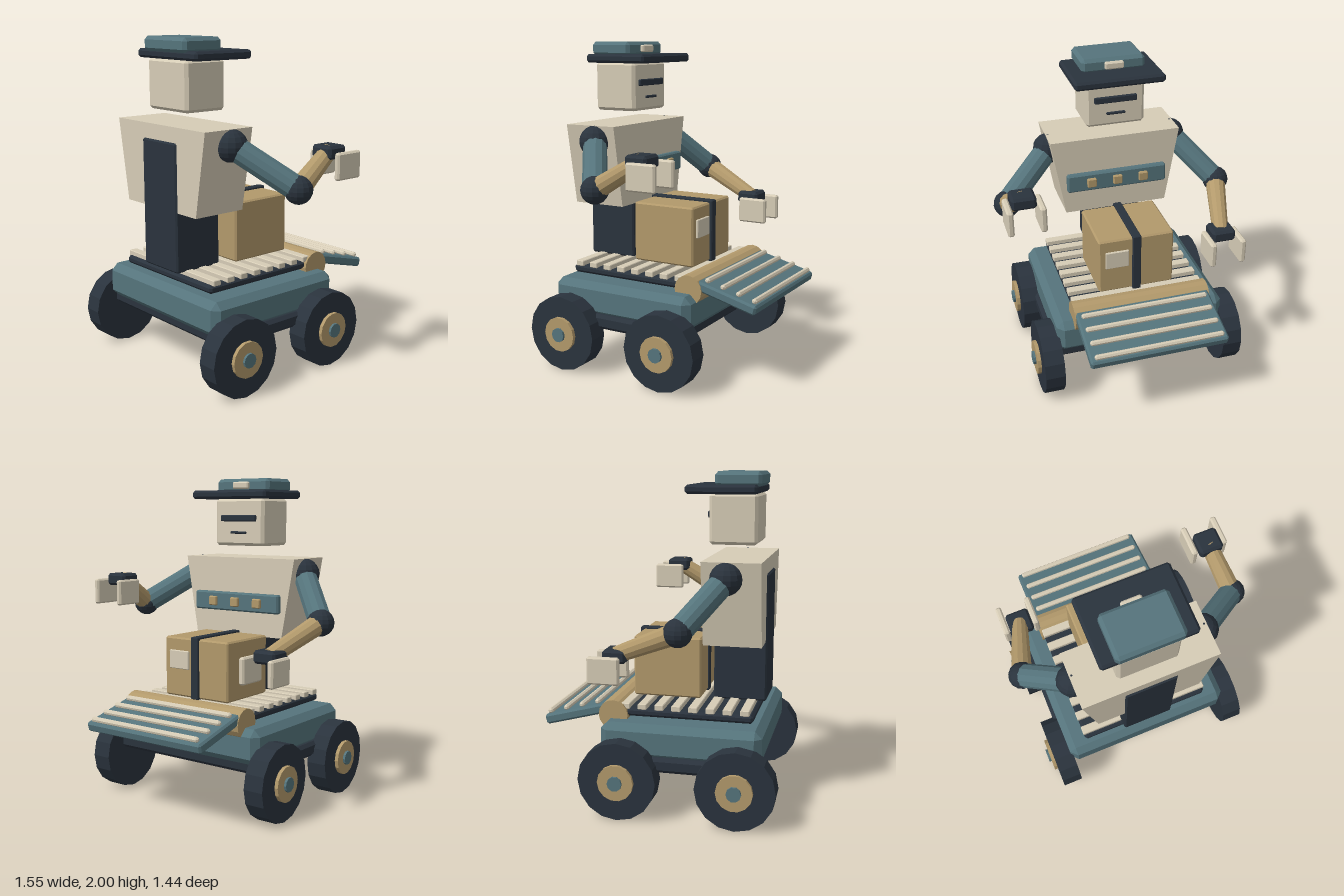
import * as THREE from 'three';
import { ConvexGeometry } from 'three/addons/geometries/ConvexGeometry.js';

const mat = (color) => new THREE.MeshStandardMaterial({ color, flatShading: true });
const teal = mat(0x55747c), dark = mat(0x2a333d), cream = mat(0xd6ccb6), tan = mat(0xb2996b);
const CX = -0.035; // centre line of the body

function add(parent, name, geometry, material, x = 0, y = 0, z = 0) {
  const mesh = new THREE.Mesh(geometry, material);
  mesh.name = name;
  mesh.position.set(x, y, z);
  parent.add(mesh);
  return mesh;
}

// Box with every edge cut at 45 degrees
function chamferBox(w, h, d, c) {
  const pts = [];
  for (const i of [-1, 1]) for (const j of [-1, 1]) for (const k of [-1, 1]) {
    const x = w / 2, y = h / 2, z = d / 2;
    pts.push(
      new THREE.Vector3(i * x, j * (y - c), k * (z - c)),
      new THREE.Vector3(i * (x - c), j * y, k * (z - c)),
      new THREE.Vector3(i * (x - c), j * (y - c), k * z));
  }
  return new ConvexGeometry(pts);
}

// Chamfered block given by its limits on each axis
function block(parent, name, material, [x0, x1], [y0, y1], [z0, z1], c = 0.01) {
  return add(parent, name, chamferBox(x1 - x0, y1 - y0, z1 - z0, c), material,
    (x0 + x1) / 2, (y0 + y1) / 2, (z0 + z1) / 2);
}

// Block symmetric about the centre line
const midBlock = (parent, name, material, half, y, z, c) =>
  block(parent, name, material, [CX - half, CX + half], y, z, c);

// Tapered cylinder between two points
function limb(parent, name, material, a, b, ra, rb) {
  const dir = b.clone().sub(a);
  const mesh = add(parent, name, new THREE.CylinderGeometry(rb, ra, dir.length(), 12), material);
  mesh.position.copy(a).lerp(b, 0.5);
  mesh.quaternion.setFromUnitVectors(new THREE.Vector3(0, 1, 0), dir.normalize());
}

function crossCylinder(parent, name, material, r, width, sides, x, y, z) {
  add(parent, name, new THREE.CylinderGeometry(r, r, width, sides), material, x, y, z).rotation.z = Math.PI / 2;
}

function buildCart(root) {
  const cart = new THREE.Group();
  cart.name = 'cart';
  root.add(cart);
  midBlock(cart, 'undercarriage', dark, 0.565, [0.275, 0.365], [-0.3, 0.575], 0.02);
  midBlock(cart, 'chassis', teal, 0.543, [0.335, 0.55], [-0.34, 0.622], 0.042);
  midBlock(cart, 'bed', dark, 0.42, [0.565, 0.615], [-0.24, 0.556], 0.015);
  for (let i = 0; i < 8; i++) {
    const z = -0.21 + i * 0.1025;
    midBlock(cart, 'slat', cream, 0.425, [0.61, 0.645], [z - 0.027, z + 0.027], 0.004);
  }
  // Wheels with hubs and axle caps
  for (const side of [-1, 1]) for (const z of [0.49, -0.205]) {
    const wheel = new THREE.Group();
    wheel.name = 'wheel';
    wheel.position.set(CX + side * 0.59, 0.234, z);
    cart.add(wheel);
    crossCylinder(wheel, 'tyre', dark, 0.234, 0.125, 16, 0, 0, 0);
    crossCylinder(wheel, 'hub', tan, 0.108, 0.06, 14, side * 0.055, 0, 0);
    crossCylinder(wheel, 'axleCap', teal, 0.044, 0.06, 10, side * 0.07, 0, 0);
  }
  // Hinge roller and sloping ramp
  crossCylinder(cart, 'roller', tan, 0.09, 0.875, 16, CX, 0.572, -0.283);
  const ramp = new THREE.Group();
  ramp.name = 'ramp';
  ramp.position.set(CX, 0.563, -0.502);
  ramp.rotation.x = -0.255;
  cart.add(ramp);
  add(ramp, 'rampBoard', chamferBox(0.865, 0.06, 0.44, 0.012), teal);
  for (let i = 0; i < 4; i++)
    add(ramp, 'rampRib', chamferBox(0.81, 0.032, 0.032, 0.01), cream, 0, 0.042, 0.125 - i * 0.104);
}

function buildParcel(root) {
  const parcel = new THREE.Group();
  parcel.name = 'parcel';
  root.add(parcel);
  midBlock(parcel, 'carton', tan, 0.242, [0.65, 1.02], [-0.205, 0.212], 0.01);
  midBlock(parcel, 'strap', dark, 0.027, [0.645, 1.033], [-0.222, 0.222], 0.005);
  block(parcel, 'label', cream, [0.015, 0.165], [0.825, 0.94], [-0.218, -0.2], 0.004);
}

function buildBody(root) {
  const body = new THREE.Group();
  body.name = 'body';
  root.add(body);
  midBlock(body, 'spine', dark, 0.162, [0.635, 1.408], [0.275, 0.597], 0.01);
  // Torso, wider at the shoulders
  const shape = new THREE.Shape([[-0.333, 1], [0.333, 1], [0.42, 1.5], [-0.42, 1.5]]
    .map(([x, y]) => new THREE.Vector2(x, y)));
  add(body, 'torso', new THREE.ExtrudeGeometry(shape, { depth: 0.347, bevelEnabled: false }), cream, CX, 0, 0.24);
  midBlock(body, 'chestPanel', teal, 0.325, [1.155, 1.275], [0.205, 0.25], 0.01);
  for (const dx of [-0.17, 0, 0.17])
    add(body, 'chestButton', chamferBox(0.06, 0.06, 0.04, 0.006), tan, CX + dx, 1.215, 0.205);
}

function buildHead(root) {
  const head = new THREE.Group();
  head.name = 'head';
  root.add(head);
  midBlock(head, 'skull', cream, 0.187, [1.575, 1.875], [0.242, 0.53], 0.018);
  midBlock(head, 'visor', dark, 0.135, [1.73, 1.77], [0.226, 0.25], 0.005);
  midBlock(head, 'mouth', dark, 0.06, [1.651, 1.667], [0.23, 0.25], 0.004);
  midBlock(head, 'hatBrim', dark, 0.282, [1.872, 1.925], [0.115, 0.535], 0.014);
  midBlock(head, 'hatCrown', teal, 0.2, [1.912, 2], [0.274, 0.55], 0.02);
  midBlock(head, 'hatBadge', cream, 0.06, [1.935, 1.98], [0.25, 0.285], 0.008);
}

function buildArm(root, name, shoulder, elbow, hand) {
  const arm = new THREE.Group();
  arm.name = name;
  root.add(arm);
  const [s, e, h] = [shoulder, elbow, hand].map((p) => new THREE.Vector3(...p));
  add(arm, 'shoulder', new THREE.SphereGeometry(0.096, 14, 10), dark, ...shoulder);
  limb(arm, 'upperArm', teal, s, e, 0.073, 0.073);
  add(arm, 'elbow', new THREE.SphereGeometry(0.083, 14, 10), dark, ...elbow);
  limb(arm, 'forearm', tan, e, h, 0.064, 0.05);
  add(arm, 'hand', chamferBox(0.15, 0.077, 0.142, 0.015), dark, ...hand);
  for (const side of [-1, 1])
    add(arm, 'finger', chamferBox(0.038, 0.16, 0.19, 0.01), cream, h.x + side * 0.097, h.y - 0.077, h.z - 0.055);
}

export function createModel() {
  const root = new THREE.Group();
  root.name = 'deliveryRobot';
  buildCart(root);
  buildParcel(root);
  buildBody(root);
  buildHead(root);
  buildArm(root, 'leftArm', [CX + 0.405, 1.405, 0.386], [0.688, 1.172, 0.165], [0.64, 1.353, -0.125]);
  buildArm(root, 'rightArm', [CX - 0.405, 1.405, 0.386], [-0.692, 1.135, 0.165], [-0.585, 0.97, -0.217]);
  return root;
}
